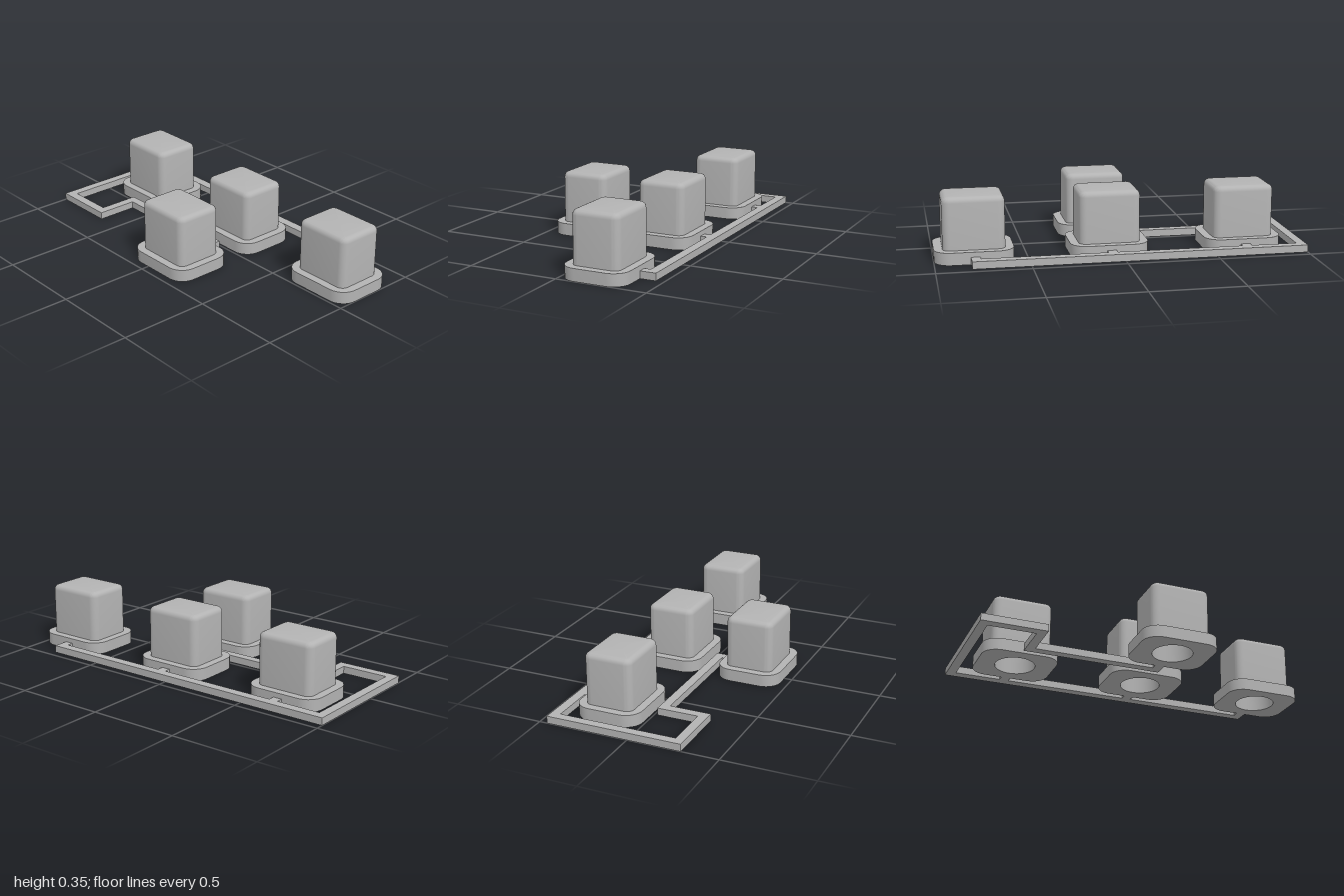
import * as THREE from 'three';
import { toCreasedNormals } from 'three/addons/utils/BufferGeometryUtils.js';

const CREASE = 0.5;

// Counter-clockwise outline of a rounded rectangle
function roundedRect(w, d, r, steps = 8) {
  const pts = [];
  const corners = [[1, 1], [-1, 1], [-1, -1], [1, -1]];
  corners.forEach(([sx, sy], q) => {
    for (let i = 0; i <= steps; i++) {
      const a = (q + i / steps) * Math.PI / 2;
      pts.push(new THREE.Vector2(
        sx * (w / 2 - r) + r * Math.cos(a),
        sy * (d / 2 - r) + r * Math.sin(a)));
    }
  });
  return pts;
}

// Plate standing on y = 0, drawn in plan
function plate(shape, height) {
  const g = new THREE.ExtrudeGeometry(shape, { depth: height, bevelEnabled: false, curveSegments: 32 });
  g.rotateX(-Math.PI / 2);
  return toCreasedNormals(g, CREASE);
}

// Block with rounded upright edges and a filleted top
function capGeometry(w, d, y0, y1, r, fillet) {
  const rings = [[0, y0]];
  for (let i = 0; i <= 6; i++) {
    const a = i / 6 * Math.PI / 2;
    rings.push([fillet * (1 - Math.cos(a)), y1 - fillet + fillet * Math.sin(a)]);
  }
  const pos = [], index = [];
  let n = 0;
  for (const [inset, y] of rings) {
    const pts = roundedRect(w - 2 * inset, d - 2 * inset, r - inset);
    n = pts.length;
    for (const p of pts) pos.push(p.x, y, -p.y);
  }
  pos.push(0, y1, 0);
  const centre = rings.length * n;
  for (let k = 0; k < rings.length; k++) {
    for (let j = 0; j < n; j++) {
      const a = k * n + j, b = k * n + (j + 1) % n;
      if (k === rings.length - 1) index.push(a, b, centre);
      else index.push(a, b, b + n, a, b + n, a + n);
    }
  }
  const g = new THREE.BufferGeometry();
  g.setAttribute('position', new THREE.Float32BufferAttribute(pos, 3));
  g.setIndex(index);
  return toCreasedNormals(g, CREASE);
}

export function createModel() {
  const model = new THREE.Group();
  model.name = 'buttonSet';
  const grey = new THREE.MeshStandardMaterial({ color: 0xb3b3b3 });
  grey.name = 'grey plastic';
  const greyInside = grey.clone();
  greyInside.side = THREE.DoubleSide;

  const add = (parent, name, geometry, material = grey) => {
    const mesh = new THREE.Mesh(geometry, material);
    mesh.name = name;
    parent.add(mesh);
    return mesh;
  };

  // Shared button parts
  const flangeH = 0.067, holeR = 0.11, holeDepth = 0.2;
  const flangeShape = new THREE.Shape(roundedRect(0.424, 0.356, 0.09));
  flangeShape.holes.push(new THREE.Path().absarc(0, 0, holeR, 0, Math.PI * 2, true));
  const flangeGeo = plate(flangeShape, flangeH);
  const capGeo = capGeometry(0.332, 0.267, flangeH, 0.35, 0.04, 0.03);
  const wallGeo = new THREE.CylinderGeometry(holeR, holeR, holeDepth - flangeH, 64, 1, true);
  wallGeo.translate(0, (holeDepth + flangeH) / 2, 0);
  const ceilingGeo = new THREE.CircleGeometry(holeR, 64);
  ceilingGeo.rotateX(Math.PI / 2).translate(0, holeDepth, 0);

  // Three buttons in the back row, one in front
  for (const [x, z] of [[-0.675, -0.191], [0.062, -0.191], [0.787, -0.191], [0.062, 0.279]]) {
    const button = new THREE.Group();
    button.name = 'button';
    button.position.set(x, 0, z);
    add(button, 'flange', flangeGeo);
    add(button, 'cap', capGeo);
    add(button, 'socketWall', wallGeo, greyInside);
    add(button, 'socketCeiling', ceilingGeo);
    model.add(button);
  }

  // Connecting runner with its short stubs, as plan corners (x, z)
  const outline = [
    [-1, -0.457], [0.81, -0.457], [0.81, -0.36], [0.76, -0.36], [0.76, -0.405],
    [0.087, -0.405], [0.087, -0.36], [0.037, -0.36], [0.037, -0.405],
    [-0.65, -0.405], [-0.65, -0.36], [-0.7, -0.36], [-0.7, -0.405], [-0.95, -0.405],
    [-0.95, 0.245], [-0.688, 0.245], [-0.688, 0.017], [0.087, 0.017], [0.087, 0.11],
    [0.037, 0.11], [0.037, 0.066], [-0.638, 0.066], [-0.638, 0.296], [-1, 0.296],
  ];
  const runner = new THREE.Shape(outline.map(([x, z]) => new THREE.Vector2(x, -z)));
  add(model, 'runner', plate(runner, 0.04));

  return model;
}
